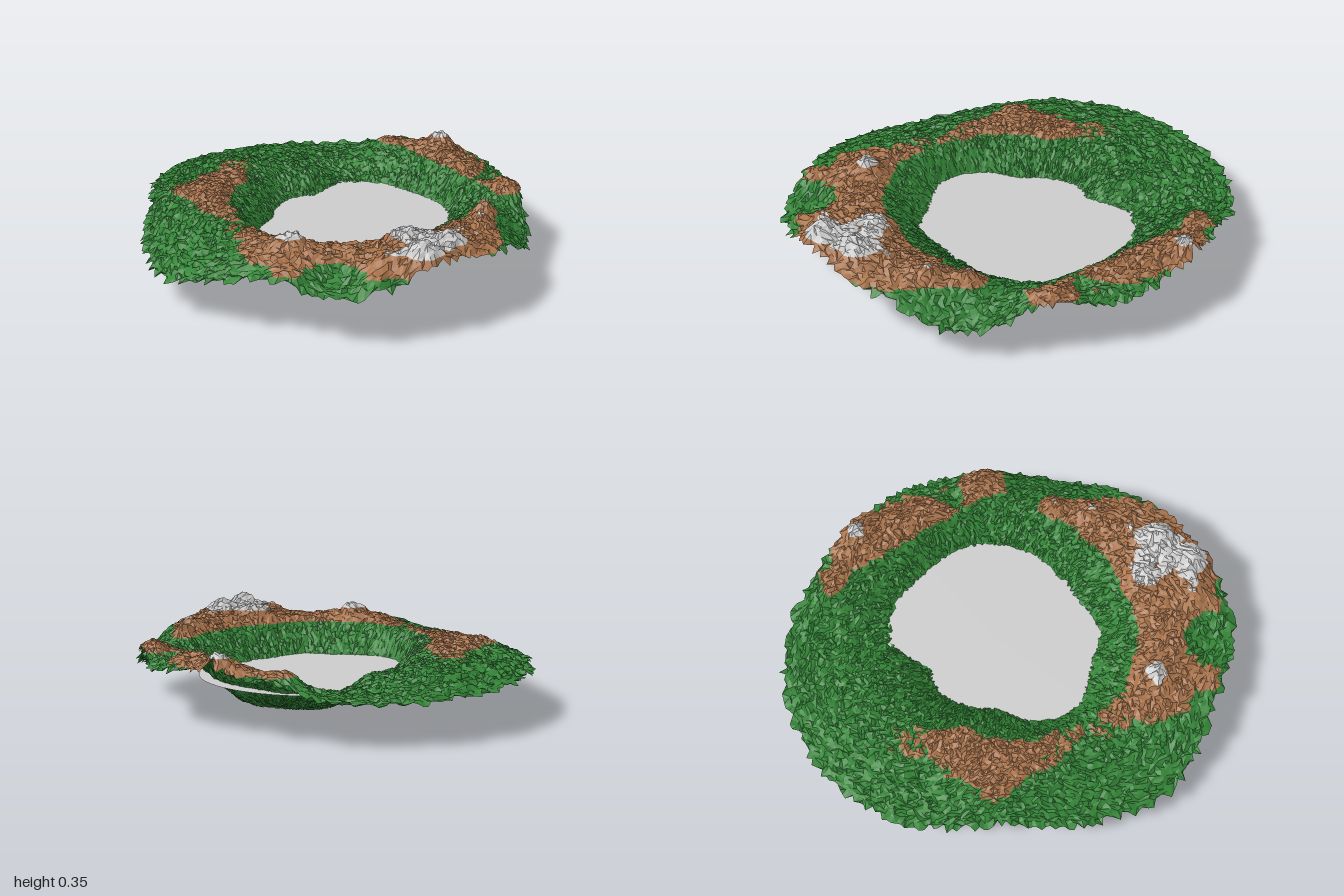
import * as THREE from 'three';

const CX = 0.05, CZ = -0.05, WATER = 0.117;
const RINGS = 70, SEGS = 300;

// One row per 22.5 degrees, from +x towards +z:
// shore radius, crest radius, crest height, rim radius, rim height
const SECTORS = [
  [0.45, 0.71, 0.256, 0.76, 0.235], [0.43, 0.62, 0.235, 0.82, 0.12],
  [0.40, 0.70, 0.280, 0.88, 0.225], [0.40, 0.78, 0.295, 0.95, 0.265],
  [0.45, 0.70, 0.270, 1.03, 0.19], [0.43, 0.75, 0.270, 0.99, 0.22],
  [0.47, 0.60, 0.243, 1.02, 0.14], [0.43, 0.56, 0.248, 0.93, 0.135],
  [0.34, 0.60, 0.265, 0.86, 0.20], [0.34, 0.54, 0.258, 0.93, 0.19],
  [0.36, 0.62, 0.238, 0.97, 0.18], [0.34, 0.63, 0.205, 0.97, 0.17],
  [0.47, 0.70, 0.165, 0.93, 0.165], [0.48, 0.76, 0.245, 0.84, 0.23],
  [0.45, 0.68, 0.275, 0.81, 0.24], [0.46, 0.62, 0.262, 0.78, 0.21],
];

// Summits and dips added on the crest: x, z, height, spread
const SUMMITS = [
  [0.30, 0.82, 0.08, 0.08], [0.25, 0.58, 0.05, 0.08], [0.43, 0.68, 0.045, 0.08],
  [0.16, 0.82, 0.045, 0.06], [-0.20, 0.60, 0.055, 0.07], [0.62, 0.23, 0.065, 0.05],
  [0.58, 0.38, 0.035, 0.05], [0.52, -0.67, 0.06, 0.06], [0.77, -0.08, 0.025, 0.07],
  [-0.04, 0.84, -0.045, 0.08], [0.68, -0.23, -0.04, 0.05], [0.72, 0.08, -0.035, 0.06],
  [0.26, -0.78, 0.035, 0.07], [-0.21, 0.86, 0.025, 0.06], [0.11, 0.93, 0.03, 0.06],
  [-0.64, -0.36, -0.02, 0.08], [-0.36, -0.33, -0.015, 0.05], [-0.68, -0.10, 0.015, 0.06],
  [-0.12, -0.47, 0.02, 0.07], [0.03, -0.62, -0.015, 0.07],
];

// Repeatable noise from -1 to 1
function noise(i, j) {
  const s = Math.sin(i * 127.1 + j * 311.7) * 43758.5453;
  return 2 * (s - Math.floor(s)) - 1;
}

// Broad irregularity of the ground
function ripple(x, z) {
  return Math.sin(31 * x + 3 * Math.sin(13 * z)) * Math.sin(27 * z + 3 * Math.sin(17 * x));
}

// Smooth periodic interpolation of one sector column
function sector(turn, k) {
  const n = SECTORS.length, t = turn * n, i = Math.floor(t), f = t - i;
  const [a, b, c, d] = [-1, 0, 1, 2].map(o => SECTORS[(i + o + n) % n][k]);
  return b + 0.5 * f * (c - a + f * (2 * a - 5 * b + 4 * c - d + f * (3 * (b - c) + d - a)));
}

function terrainPoint(ring, j) {
  const inner = ring > 0 && ring < RINGS;
  const turn = ((j + (inner ? 0.35 * noise(ring, j) : 0)) / SEGS + 1) % 1;
  const [shore, crest, top, rim, edge] = [0, 1, 2, 3, 4].map(k => sector(turn, k));
  let t = ring / RINGS;
  if (inner) t += 0.35 * noise(j, ring + 9) / RINGS;
  if (ring === RINGS) t += 0.022 * noise(j, 5);
  const r = t * rim, angle = turn * Math.PI * 2;
  const x = CX + r * Math.cos(angle), z = CZ + r * Math.sin(angle);

  // Lake bed (steeper banks at the sides), bank, crest, outer slope
  const bed = shore * (0.42 + 0.26 * Math.cos(angle) ** 2);
  let y = 0.003, rough = 0.003;
  if (r > crest) {
    const u = (r - crest) / (rim - crest);
    y = THREE.MathUtils.lerp(top, edge, u * u * (1.6 - 0.6 * u));
    rough = 0.009;
  } else if (r > shore) {
    y = WATER + (top - WATER) * Math.sin((r - shore) / (crest - shore) * Math.PI / 2);
    rough = 0.009;
  } else if (r > bed) {
    y = WATER * Math.pow((r - bed) / (shore - bed), 1.45);
    rough = 0.006;
  }
  for (const [sx, sz, h, s] of SUMMITS) {
    y += h * Math.exp(-((x - sx) ** 2 + (z - sz) ** 2) / (s * s));
  }
  y += rough * (noise(ring + 31, j + 17) + 0.7 * ripple(x, z));
  return [x, Math.max(0, y), z];
}

// Keep the part of a polygon above (sign 1) or below (sign -1) a height
function clip(poly, height, sign) {
  const out = [];
  poly.forEach((p, i) => {
    const q = poly[(i + 1) % poly.length];
    const dp = sign * (p[1] - height), dq = sign * (q[1] - height);
    if (dp >= 0) out.push(p);
    if (dp * dq < 0) out.push(p.map((v, k) => v + (q[k] - v) * dp / (dp - dq)));
  });
  return out;
}

export function createModel() {
  const model = new THREE.Group();

  // Ground triangles, running from the lake bed to the ragged outer edge
  const grid = [];
  for (let i = 0; i <= RINGS; i++) {
    grid.push(Array.from({ length: SEGS }, (_, j) => terrainPoint(i, j)));
  }
  const triangles = [];
  for (let i = 0; i < RINGS; i++) {
    for (let j = 0; j < SEGS; j++) {
      const k = (j + 1) % SEGS;
      const a = grid[i][j], b = grid[i][k], c = grid[i + 1][k], d = grid[i + 1][j];
      if (i === 0) triangles.push([grid[0][0], c, d]);
      else if (noise(i + 3, j + 7) > 0) triangles.push([a, c, d], [a, b, c]);
      else triangles.push([a, b, d], [b, c, d]);
    }
  }

  // Height bands, each its own coloured surface
  const bands = [
    ['grassland', -1, 0.242, 0x358538],
    ['rockyRidge', 0.242, 0.3, 0xa9744c],
    ['summits', 0.3, 2, 0xcccccc],
  ];
  for (const [name, low, high, color] of bands) {
    const positions = [];
    for (const tri of triangles) {
      const poly = clip(clip(tri, low, 1), high, -1);
      for (let i = 1; i + 1 < poly.length; i++) {
        positions.push(...poly[0], ...poly[i], ...poly[i + 1]);
      }
    }
    const geometry = new THREE.BufferGeometry();
    geometry.setAttribute('position', new THREE.Float32BufferAttribute(positions, 3));
    geometry.computeVertexNormals();
    const mesh = new THREE.Mesh(geometry, new THREE.MeshStandardMaterial({
      color, flatShading: true, side: THREE.DoubleSide,
    }));
    mesh.name = name;
    model.add(mesh);
  }

  // Flat lake disc, wider than its visible shoreline
  const lake = new THREE.Mesh(
    new THREE.CircleGeometry(0.515, 64).rotateX(-Math.PI / 2),
    new THREE.MeshStandardMaterial({ color: 0xcccccc, side: THREE.DoubleSide }),
  );
  lake.position.set(CX, WATER, CZ - 0.01);
  lake.name = 'lake';
  model.add(lake);

  return model;
}
